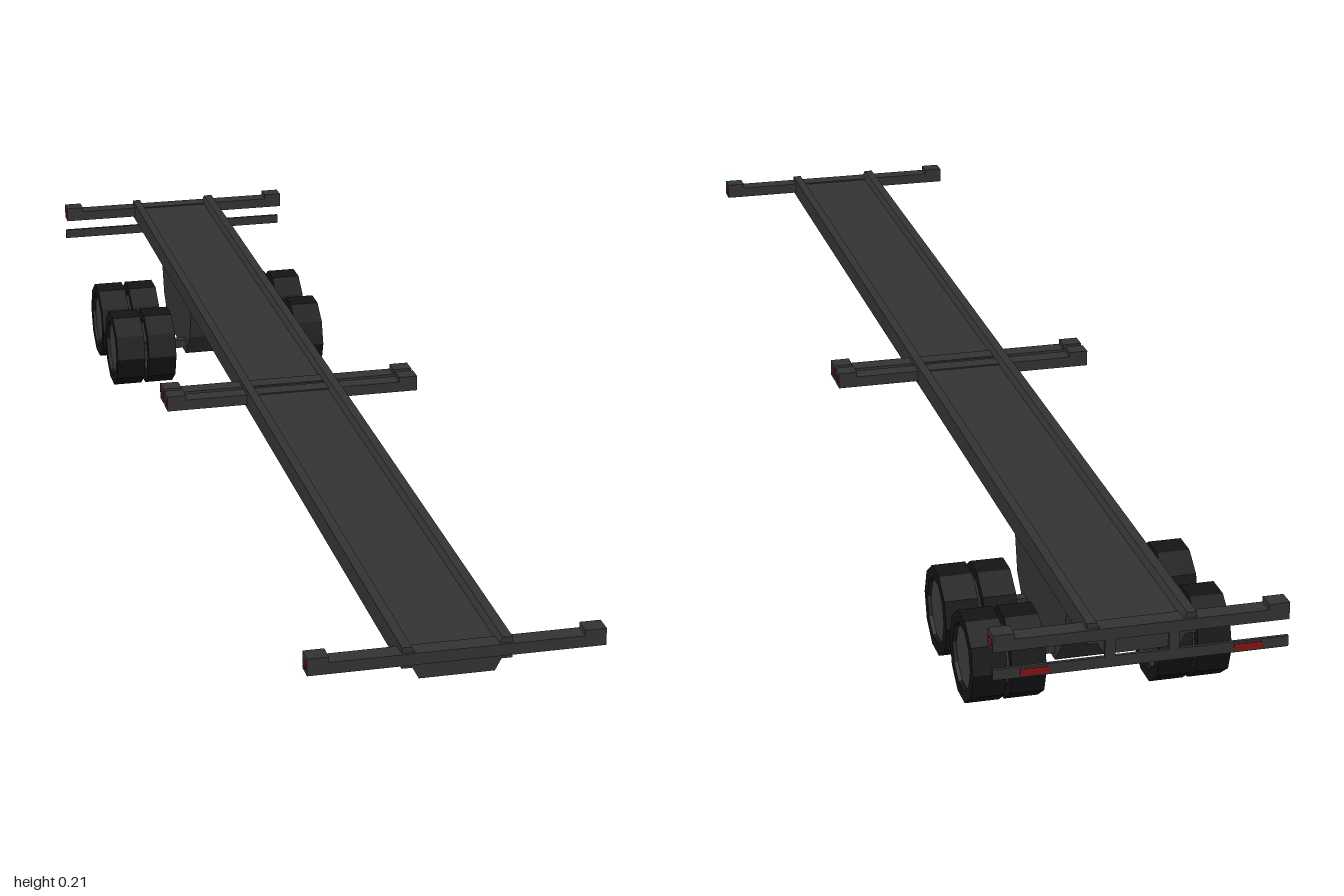
import * as THREE from 'three';

const mat = (color) => new THREE.MeshStandardMaterial({ color, flatShading: true });

export function createModel() {
  const model = new THREE.Group();
  const steel = mat(0x333333), rubber = mat(0x141414), rim = mat(0x3a3a3a), red = mat(0x8a1010);

  const add = (name, geometry, material, x = 0, y = 0, z = 0) => {
    const mesh = new THREE.Mesh(geometry, material);
    mesh.name = name;
    mesh.position.set(x, y, z);
    model.add(mesh);
    return mesh;
  };
  const box = (name, material, w, h, d, x, y, z) =>
    add(name, new THREE.BoxGeometry(w, h, d), material, x, y, z);
  const extrude = (points, depth) => new THREE.ExtrudeGeometry(
    new THREE.Shape(points.map(([a, b]) => new THREE.Vector2(a, b))), { depth, bevelEnabled: false });

  // Long chassis beam: raised side rails, sunken deck and tapered belly
  const half = [[0.053, 0.167], [0.062, 0.184], [0.077, 0.184], [0.077, 0.215], [0.063, 0.215], [0.058, 0.205]];
  const mirrored = half.map(([x, y]) => [-x, y]).reverse();
  add('chassisBeam', extrude([...half, ...mirrored], 1.99), steel, 0, 0, -0.995);

  // Cross bars with raised locking blocks and marker lamps at their ends
  for (const z of [0.986, 0.018, -0.018, -0.986]) {
    box('crossBar', steel, 0.416, 0.017, 0.027, 0, 0.1985, z);
    for (const s of [-1, 1]) {
      box('lockBlock', steel, 0.03, 0.025, 0.027, s * 0.193, 0.2025, z);
      box('sideMarker', red, 0.002, 0.01, 0.014, s * 0.208, 0.202, z);
    }
  }

  // Rear bumper, its hanger plates and tail lamps
  box('rearBumper', steel, 0.416, 0.016, 0.005, 0, 0.157, -0.997);
  for (const s of [-1, 1]) {
    box('bumperHanger', steel, 0.015, 0.03, 0.005, s * 0.045, 0.175, -0.997);
    box('tailLamp', red, 0.04, 0.009, 0.002, s * 0.15, 0.157, -0.9995);
  }

  // Bogie housing, drawn in side profile (z, y)
  const bogie = extrude([[-0.54, 0.172], [-0.56, 0.09], [-0.6, 0.045], [-0.765, 0.045],
    [-0.805, 0.09], [-0.828, 0.172]], 0.108);
  bogie.rotateY(-Math.PI / 2);
  add('bogieHousing', bogie, steel, 0.054, 0, 0);

  // Two axles with dual ten-sided wheels on each side
  const tyreProfile = [[0.046, -0.019], [0.05, -0.025], [0.067, -0.025], [0.067, 0.025],
    [0.05, 0.025], [0.046, 0.019], [0.046, -0.019]].map(([r, y]) => new THREE.Vector2(r, y));
  const tyre = new THREE.LatheGeometry(tyreProfile, 10).rotateZ(Math.PI / 2);
  const hub = new THREE.CylinderGeometry(0.047, 0.047, 0.04, 10).rotateZ(Math.PI / 2);
  for (const z of [-0.607, -0.759]) {
    box('axle', steel, 0.34, 0.015, 0.015, 0, 0.064, z);
    for (const x of [-0.165, -0.108, 0.108, 0.165]) {
      add('tyre', tyre, rubber, x, 0.064, z);
      add('wheelHub', hub, rim, x, 0.064, z);
    }
  }
  return model;
}
